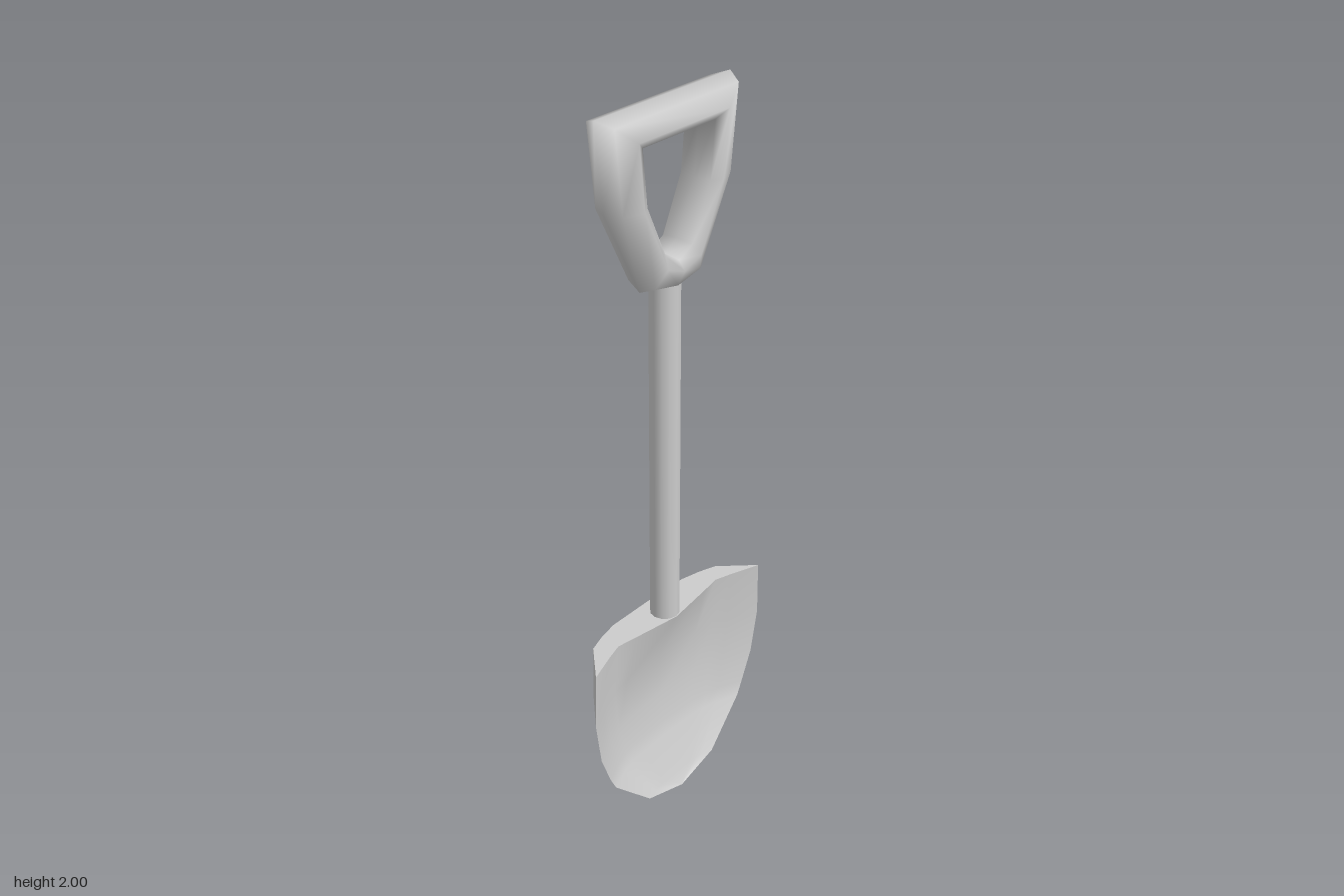
import * as THREE from 'three';

const grey = new THREE.MeshStandardMaterial({ color: 0xcccccc, side: THREE.DoubleSide });

// Smooth surface through rows of points, optionally wrapped in both directions
function surface(name, rows, closed = false, flip = false) {
  const R = rows.length, C = rows[0].length, index = [];
  const at = (i, j) => (i % R) * C + (j % C);
  for (let i = 0; i < (closed ? R : R - 1); i++) {
    for (let j = 0; j < (closed ? C : C - 1); j++) {
      const a = at(i, j), b = at(i + 1, j), c = at(i + 1, j + 1), d = at(i, j + 1);
      index.push(...(flip ? [a, d, b, b, d, c] : [a, b, d, b, c, d]));
    }
  }
  const geo = new THREE.BufferGeometry();
  geo.setAttribute('position', new THREE.Float32BufferAttribute(rows.flat(2), 3));
  geo.setIndex(index);
  geo.computeVertexNormals();
  const mesh = new THREE.Mesh(geo, grey);
  mesh.name = name;
  return mesh;
}

// Scooped blade: dished front, bulging back and a flat top closing the two
function createBlade() {
  // y, half width, rim z, front centre z, back centre z
  const sections = [
    [0.58, 0.332, 0.057, 0.042, -0.062],
    [0.42, 0.336, 0.056, -0.018, -0.062],
    [0.29, 0.315, 0.053, -0.016, -0.062],
    [0.20, 0.28, 0.051, -0.004, -0.06],
    [0.16, 0.26, 0.052, 0.005, -0.046],
    [0.04, 0.135, 0.062, 0.045, -0.004],
    [0.003, 0.0, 0.065, 0.065, 0.065],
  ];
  const across = [-1, -0.75, -0.6, -0.42, 0, 0.42, 0.6, 0.75, 1];
  const dish = [0, 0.55, 0.77, 0.9, 1, 0.9, 0.77, 0.55, 0];
  const bowl = [0, 0.73, 0.87, 0.98, 1, 0.98, 0.87, 0.73, 0];
  const socketEdge = [0.057, 0.028, 0.013, 0.022, 0.042, 0.022, 0.013, 0.028, 0.057];

  const front = sections.map(([y, w, rim, mid], i) =>
    across.map((t, j) => [t * w, y, i === 0 ? socketEdge[j] : rim + (mid - rim) * dish[j]]));
  const back = sections.map(([y, w, rim, , mid]) =>
    across.map((t, j) => [t * w, y, rim + (mid - rim) * bowl[j]]));

  const blade = new THREE.Group();
  blade.name = 'blade';
  blade.add(
    surface('bladeFront', front),
    surface('bladeBack', back, false, true),
    surface('bladeTop', [back[0], front[0]]),
  );
  return blade;
}

// D-shaped grip: a rounded section swept between an outer and an inner outline
function createGrip() {
  // outer x, outer y, inner x, inner y, for the left half from bottom to top
  const half = [
    [0.09, 1.545, 0.045, 1.64],
    [0.208, 1.775, 0.106, 1.775],
    [0.233, 2.0, 0.12, 1.915],
  ];
  const mirrored = half.map(([ox, oy, ix, iy]) => [-ox, oy, -ix, iy]).reverse();
  const outline = [[0, 1.53, 0, 1.615], ...half, ...mirrored];
  // share of the way from outer to inner edge, z
  const section = [
    [0, 0], [0.18, 0.042], [0.68, 0.063], [0.95, 0.045],
    [1, 0], [0.95, -0.045], [0.68, -0.063], [0.18, -0.042],
  ];
  const rows = outline.map(([ox, oy, ix, iy]) =>
    section.map(([s, z]) => [ox + (ix - ox) * s, oy + (iy - oy) * s, z]));
  return surface('grip', rows, true);
}

export function createModel() {
  const model = new THREE.Group();
  model.name = 'shovel';

  // Straight shaft from the blade top into the grip
  const bottom = 0.578, top = 1.57;
  const shaft = new THREE.Mesh(new THREE.CylinderGeometry(0.04, 0.04, top - bottom, 12), grey);
  shaft.name = 'shaft';
  shaft.position.y = (bottom + top) / 2;

  model.add(createBlade(), shaft, createGrip());
  return model;
}
